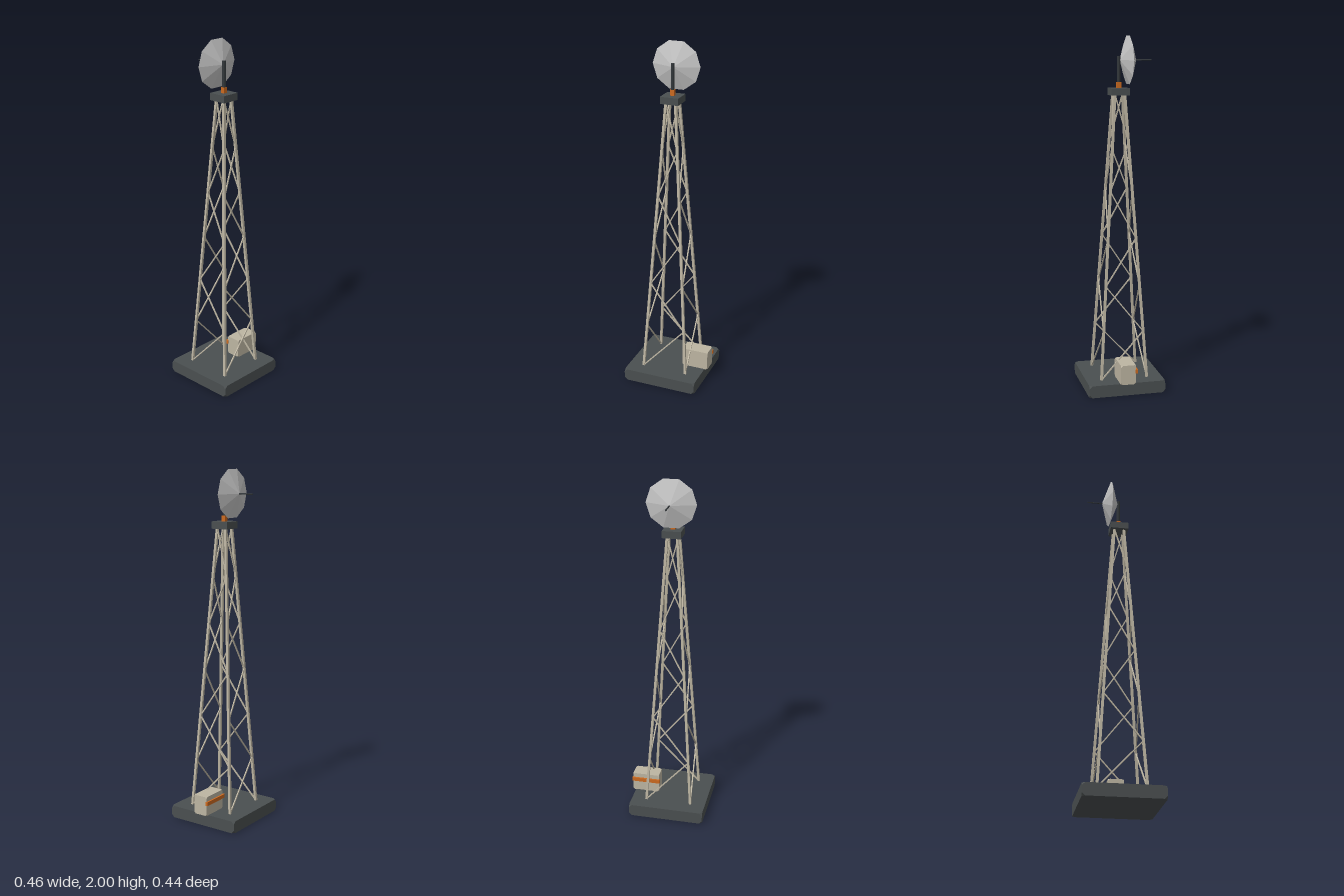
import * as THREE from 'three';
import { ConvexGeometry } from 'three/addons/geometries/ConvexGeometry.js';

const flat = (name, color) => {
  const m = new THREE.MeshStandardMaterial({ color, flatShading: true });
  m.name = name;
  return m;
};

// Box with its eight corners cut off by c
function cutBox(w, h, d, c) {
  const pts = [];
  for (const x of [-1, 1]) for (const y of [-1, 1]) for (const z of [-1, 1]) {
    const p = [x * w / 2, y * h / 2, z * d / 2];
    [x, y, z].forEach((s, i) => {
      const q = [...p];
      q[i] -= s * c;
      pts.push(new THREE.Vector3(...q));
    });
  }
  return new ConvexGeometry(pts);
}

export function createModel() {
  const dark = flat('dark slate', 0x4a4f50);
  const black = flat('charcoal', 0x33383b);
  const beige = flat('beige', 0xbdb5a2);
  const orange = flat('orange', 0xcc6a20);
  const grey = flat('light grey', 0xc4c4c4);

  const model = new THREE.Group();
  const tower = new THREE.Group();
  tower.name = 'tower';
  tower.position.x = -0.011;
  model.add(tower);

  const add = (parent, name, geo, mat, x, y, z) => {
    const m = new THREE.Mesh(geo, mat);
    m.name = name;
    m.position.set(x, y, z);
    parent.add(m);
    return m;
  };
  // Square bar between two points
  const up = new THREE.Vector3(0, 1, 0);
  const bar = (name, a, b, t) => {
    const dir = b.clone().sub(a);
    const mid = a.clone().add(b).multiplyScalar(0.5);
    const m = add(tower, name, new THREE.BoxGeometry(t, dir.length(), t), beige, mid.x, mid.y, mid.z);
    m.quaternion.setFromUnitVectors(up, dir.normalize());
  };

  // Foundation and top platform
  add(tower, 'base', cutBox(0.44, 0.07, 0.44, 0.017), dark, 0, 0.035, 0);
  add(tower, 'platform', cutBox(0.105, 0.04, 0.105, 0.002), dark, 0, 1.695, 0);

  // Tapering legs and zigzag braces, one brace per face and level
  const y0 = 0.07, y1 = 1.68, levels = 6;
  const signs = [[-1, 1], [1, 1], [1, -1], [-1, -1]];
  const node = (corner, t) => {
    const r = THREE.MathUtils.lerp(0.133, 0.028, t);
    const [sx, sz] = signs[corner % 4];
    return new THREE.Vector3(sx * r, THREE.MathUtils.lerp(y0, y1, t), sz * r);
  };
  for (let i = 0; i < 4; i++) {
    bar('leg', node(i, 0), node(i, 1), 0.014);
    for (let k = 0; k < levels; k++) {
      const flip = k % 2;
      bar('brace', node(i + flip, k / levels), node(i + 1 - flip, (k + 1) / levels), 0.007);
    }
  }

  // Mast on an orange foot
  add(tower, 'mastFoot', new THREE.BoxGeometry(0.024, 0.034, 0.024), orange, 0, 1.73, 0);
  add(tower, 'mast', new THREE.CylinderGeometry(0.01, 0.01, 0.175, 8), black, 0, 1.8025, 0);

  // Ten-sided double-cone dish with a rod at the back
  const dish = new THREE.LatheGeometry(
    [[0, -0.047], [0.139, 0], [0, 0.048]].map(p => new THREE.Vector2(...p)), 10);
  dish.rotateY(Math.PI / 2).rotateX(Math.PI / 2);
  add(tower, 'dish', dish, grey, 0, 1.868, -0.053);
  const rod = new THREE.CylinderGeometry(0.004, 0.004, 0.1, 6).rotateX(Math.PI / 2);
  add(tower, 'feedRod', rod, black, 0, 1.868, -0.137);

  // Equipment cabinet with an orange stripe bar on its back
  add(model, 'cabinet', cutBox(0.158, 0.112, 0.086, 0.01), beige, 0.147, 0.125, 0);
  add(model, 'cabinetBar', new THREE.BoxGeometry(0.168, 0.022, 0.015), orange, 0.146, 0.144, -0.046);

  return model;
}
